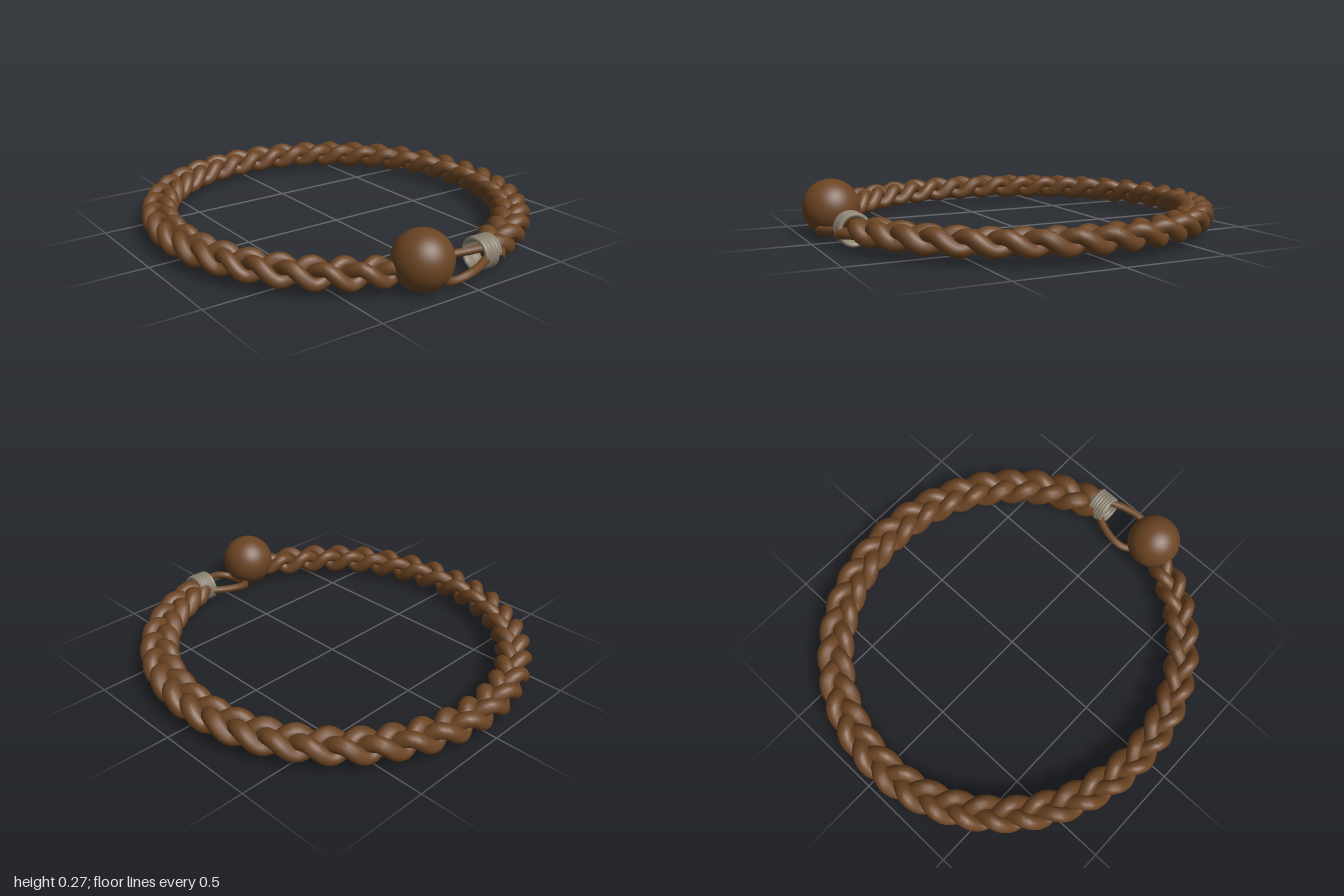
import * as THREE from 'three';

const CORD_Y = 0.092;
const PERIODS = 12;
const START = 0.2, END = Math.PI * 2 - 0.25;
const { lerp, smoothstep } = THREE.MathUtils;

// Curve defined by a function of t in 0..1
class PathCurve extends THREE.Curve {
  constructor(fn) { super(); this.fn = fn; }
  getPoint(t, target = new THREE.Vector3()) { return target.copy(this.fn(t)); }
  getPointAt(t, target) { return this.getPoint(t, target); }
  getTangentAt(t, target) { return this.getTangent(t, target); }
}

// One strand of a flat three-strand braid running round the ring
function strandPoint(t, phase) {
  const a = lerp(START, END, t);
  const w = t * PERIODS * Math.PI * 2 + phase;
  const ends = lerp(0.45, 1, smoothstep(t, 0, 0.02)) * lerp(1, 0.5, smoothstep(t, 0.96, 1));
  const side = 0.051 * ends * Math.sin(w);
  return new THREE.Vector3(
    -0.02 + (0.875 + side) * Math.cos(a),
    CORD_Y + 0.034 * ends * Math.sin(2 * w),
    -(0.842 + side) * Math.sin(a)
  );
}

function strandGeometry(phase) {
  const base = 0.03;
  const geo = new THREE.TubeGeometry(new PathCurve(t => strandPoint(t, phase)), 400, base, 12);
  const { position: p, normal: n, uv } = geo.attributes;
  // Strands are fatter and flatter near the binding, thinner near the bead
  for (let i = 0; i < p.count; i++) {
    const t = uv.getX(i);
    const grow = lerp(0.045, 0.031, t) - base;
    const flat = lerp(0.76, 0.98, t);
    p.setXYZ(i,
      p.getX(i) + n.getX(i) * grow,
      CORD_Y + (p.getY(i) + n.getY(i) * grow - CORD_Y) * flat,
      p.getZ(i) + n.getZ(i) * grow);
  }
  return geo;
}

export function createModel() {
  const leather = new THREE.MeshStandardMaterial({ color: 0x6b4423 });
  leather.name = 'brown leather';
  const thread = new THREE.MeshStandardMaterial({ color: 0x8f8573 });
  thread.name = 'grey thread';

  const group = new THREE.Group();
  group.name = 'braidedBracelet';
  const add = (name, geo, mat) => {
    const mesh = new THREE.Mesh(geo, mat);
    mesh.name = name;
    group.add(mesh);
    return mesh;
  };

  // Braided band
  for (let k = 0; k < 3; k++) {
    add('braidStrand' + (k + 1), strandGeometry(k * Math.PI * 2 / 3), leather);
  }

  // Round bead that closes the bracelet
  add('bead', new THREE.SphereGeometry(0.133, 40, 28), leather).position.set(0.86, 0.136, 0.185);

  // Loop that hooks under the bead
  const half = [[0.03, 0.085, -0.23], [0.05, 0.08, -0.14], [0.082, 0.07, -0.06],
    [0.098, 0.058, 0.03], [0.075, 0.04, 0.09]];
  const at = (s, [x, y, z]) => new THREE.Vector3(0.856 + s * x, y, z);
  const loopPath = new THREE.CatmullRomCurve3([
    ...half.map(q => at(-1, q)), at(1, [0, 0.03, 0.115]), ...half.map(q => at(1, q)).reverse()
  ]);
  add('fasteningLoop', new THREE.TubeGeometry(loopPath, 64, 0.019, 12), leather);

  // Short cut end of the cord beside the binding
  const tail = new THREE.CatmullRomCurve3([
    new THREE.Vector3(0.87, 0.08, -0.25), new THREE.Vector3(0.905, 0.08, -0.215),
    new THREE.Vector3(0.925, 0.075, -0.185)]);
  add('cordTail', new THREE.TubeGeometry(tail, 12, 0.024, 10), leather);

  // Thread wound round the joint
  const turns = 6;
  const winding = new PathCurve(t => {
    const a = t * turns * Math.PI * 2;
    return new THREE.Vector3(
      0.856 + 0.066 * Math.cos(a), 0.088 + 0.067 * Math.sin(a), lerp(-0.195, -0.105, t));
  });
  add('threadBinding', new THREE.TubeGeometry(winding, turns * 32, 0.0105, 8), thread);

  return group;
}
